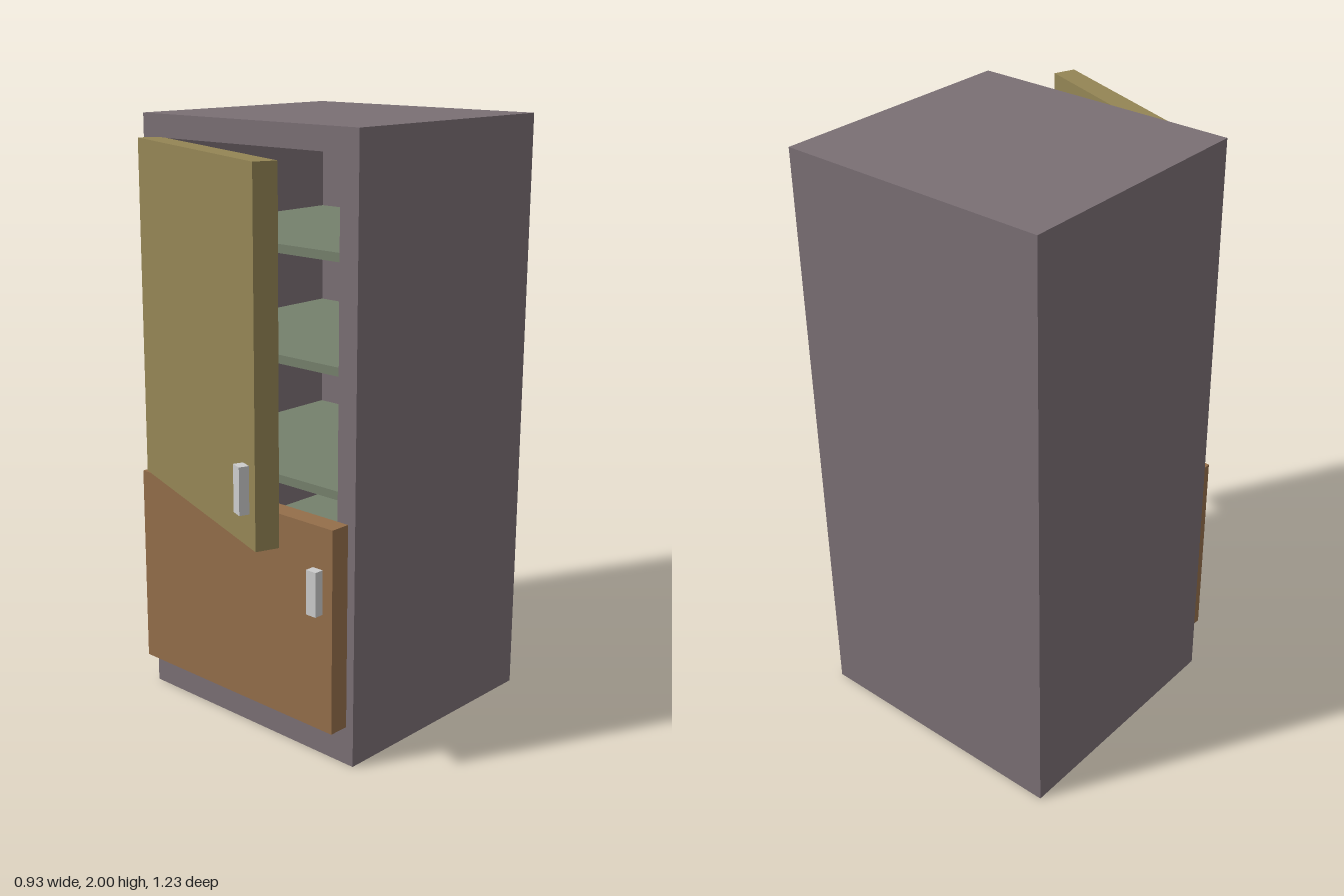
import * as THREE from 'three';

const mat = (color) => new THREE.MeshStandardMaterial({ color, flatShading: true });

function box(name, size, pos, material) {
  const mesh = new THREE.Mesh(new THREE.BoxGeometry(...size), material);
  mesh.name = name;
  mesh.position.set(...pos);
  return mesh;
}

export function createModel() {
  const model = new THREE.Group();
  model.name = 'refrigerator';
  const bodyMat = mat(0x7a6f74);
  const shelfMat = mat(0x75806c);
  const handleMat = mat(0xcccccc);

  const W = 0.926, H = 2, front = 0.24, back = -0.615, wall = 0.072;
  const inner = W / 2 - wall;

  // Hollow cabinet: a rectangular tube open at the front
  const outline = new THREE.Shape([
    new THREE.Vector2(-W / 2, 0), new THREE.Vector2(W / 2, 0),
    new THREE.Vector2(W / 2, H), new THREE.Vector2(-W / 2, H),
  ]);
  outline.holes.push(new THREE.Path([
    new THREE.Vector2(-inner, 0.15), new THREE.Vector2(-inner, 1.925),
    new THREE.Vector2(inner, 1.925), new THREE.Vector2(inner, 0.15),
  ]));
  const shell = new THREE.Mesh(
    new THREE.ExtrudeGeometry(outline, { depth: front - back - wall, bevelEnabled: false }), bodyMat);
  shell.name = 'cabinet';
  shell.position.z = back + wall;
  model.add(shell);
  model.add(box('backPanel', [W, H, wall], [0, H / 2, back + wall / 2], bodyMat));

  // Shelves, given by their top heights
  const shelfDepth = front - 0.015 - (back + wall);
  for (const top of [1.635, 1.29, 0.9, 0.53]) {
    model.add(box('shelf', [inner * 2, 0.028, shelfDepth],
      [0, top - 0.014, back + wall + shelfDepth / 2], shelfMat));
  }

  // A door slab with its handle, built around the slab's centre
  function door(name, height, thickness, handleY, color) {
    const group = new THREE.Group();
    group.name = name;
    group.add(box(name + 'Panel', [0.868, height, thickness], [0, 0, 0], mat(color)));
    group.add(box(name + 'Handle', [0.04, 0.147, 0.032], [0.374, handleY, thickness / 2 + 0.016], handleMat));
    model.add(group);
    return group;
  }

  // Closed lower door
  door('lowerDoor', 0.68, 0.07, 0.128, 0x946e4a).position.set(0, 0.47, front + 0.035);

  // Upper door, swung open 20 degrees
  const upper = door('upperDoor', 1.117, 0.076, -0.382, 0x948555);
  upper.position.set(-0.004, 1.3675, 0.411);
  upper.rotation.y = -THREE.MathUtils.degToRad(20);

  return model;
}
